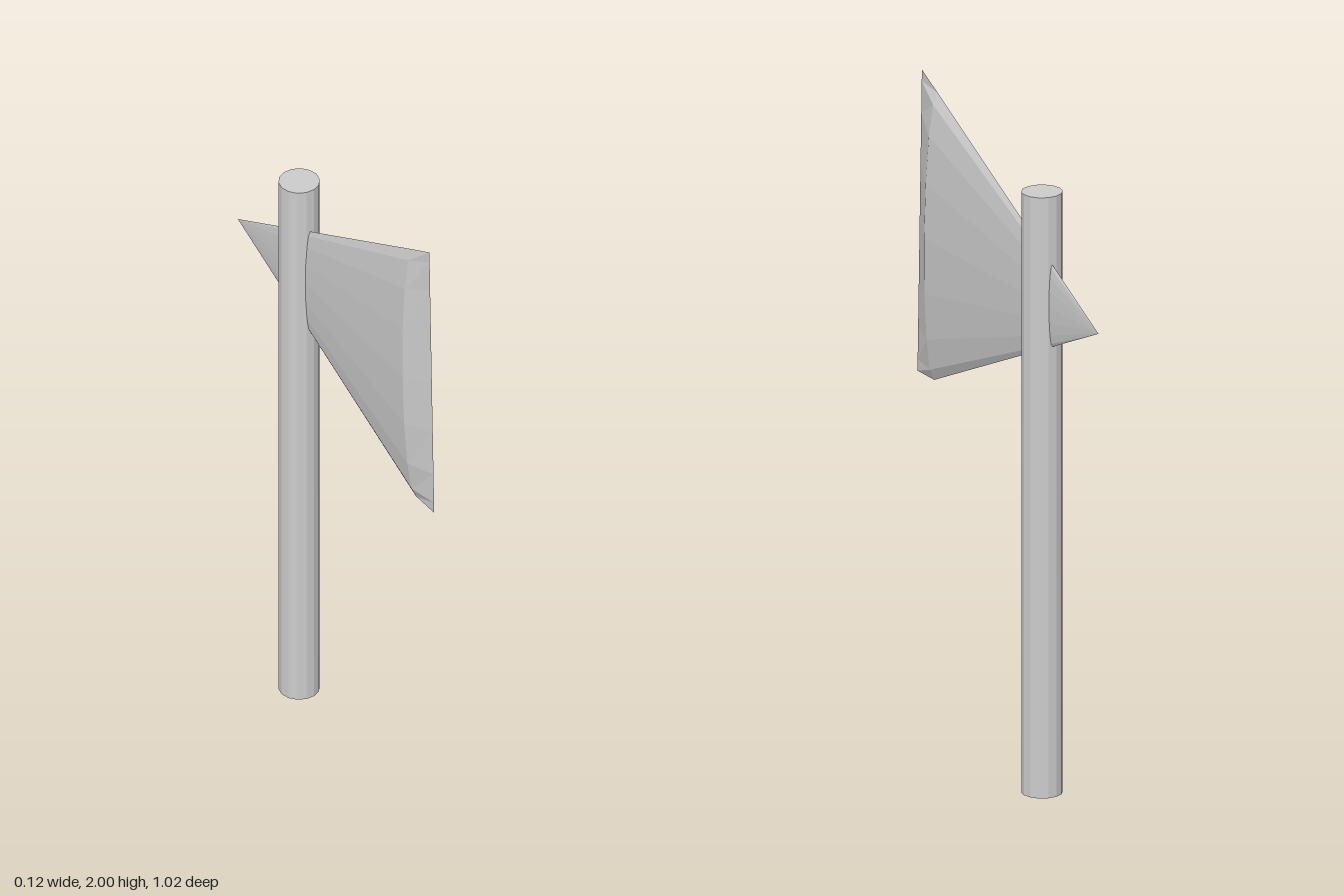
import * as THREE from 'three';

// Wedge blade: elliptical cone from a rear spike, pinched into a vertical cutting edge
function bladeGeometry(sides) {
  const apex = [0, 1.49, -0.51];
  const ring = [], edge = [];
  for (let i = 0; i <= sides; i++) {
    const a = (i / sides) * Math.PI * 2;
    const t = (1 - Math.sin(a)) / 2; // 0 at top, 1 at bottom
    ring.push([0.04 * Math.cos(a), 1.955 - 0.88 * t, 0.4 + 0.02 * t]);
    edge.push([0, 2 - 0.925 * t, 0.49 + 0.025 * t]);
  }
  const pos = [];
  for (let i = 0; i < sides; i++) {
    const j = i + 1;
    pos.push(...apex, ...ring[j], ...ring[i]);
    pos.push(...ring[i], ...ring[j], ...edge[i]);
    pos.push(...ring[j], ...edge[j], ...edge[i]);
  }
  const g = new THREE.BufferGeometry();
  g.setAttribute('position', new THREE.Float32BufferAttribute(pos, 3));
  g.computeVertexNormals();
  return g;
}

export function createModel() {
  const group = new THREE.Group();
  group.name = 'axe';
  const grey = new THREE.MeshStandardMaterial({ color: 0xcccccc, flatShading: true });
  grey.name = 'light grey';

  // Straight handle
  const handle = new THREE.Mesh(new THREE.CylinderGeometry(0.06, 0.06, 1.83, 14), grey);
  handle.name = 'handle';
  handle.rotation.y = Math.PI / 2;
  handle.position.set(0, 0.915, -0.19);

  // Blade passing through the handle
  const blade = new THREE.Mesh(bladeGeometry(16), grey);
  blade.name = 'blade';

  group.add(handle, blade);
  return group;
}
